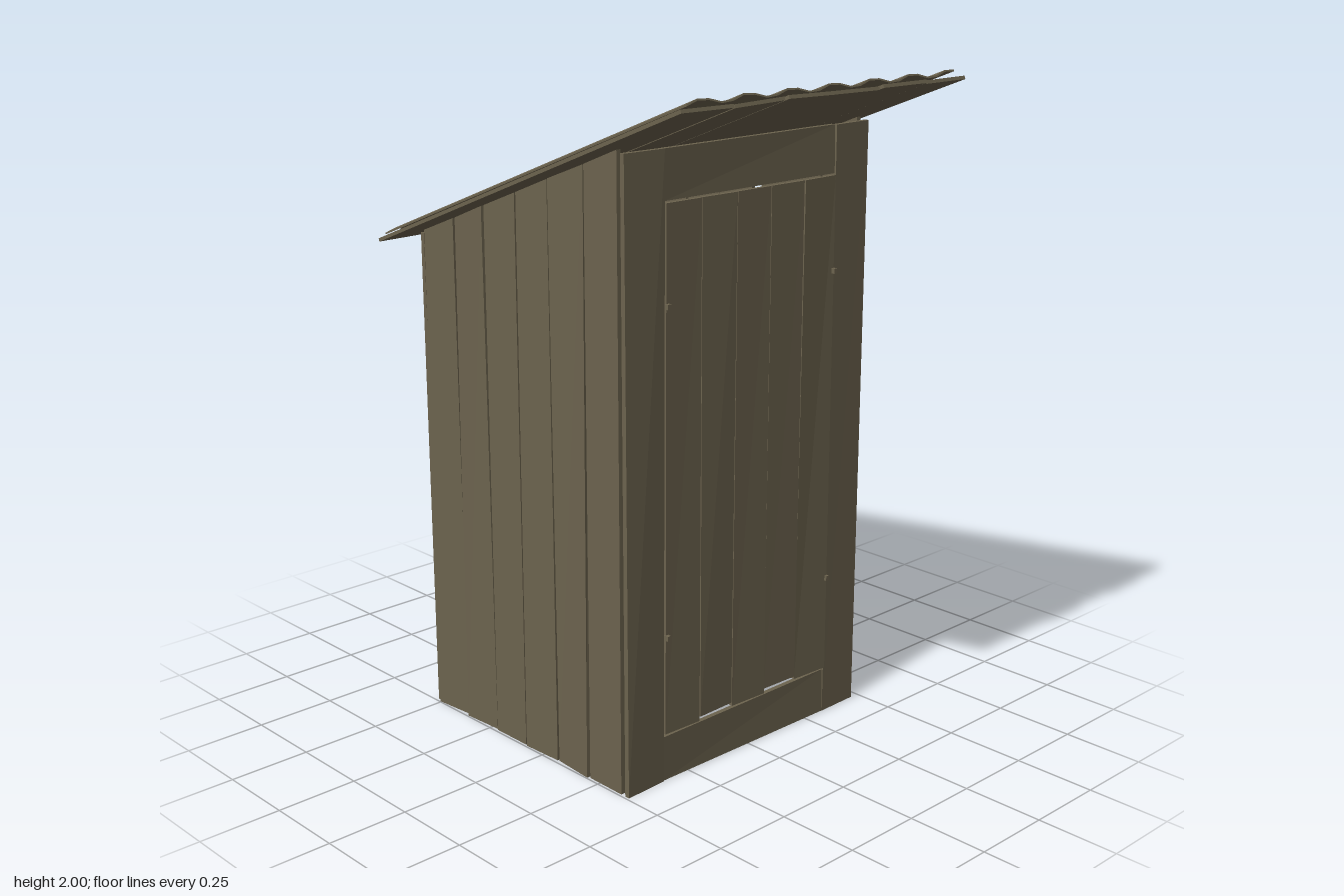
import * as THREE from 'three';

const SLOPE = 0.385;                            // rise of the roof per unit of z
const roofY = (z) => 1.715 + SLOPE * z;         // underside of the roof

export function createModel() {
  const model = new THREE.Group();
  model.name = 'woodenShed';
  const wood = new THREE.MeshStandardMaterial({ color: 0x6c634e, flatShading: true });
  wood.name = 'weathered wood';

  let seed = 7;
  const rand = (a) => {
    seed = (seed * 16807) % 2147483647;
    return (seed / 2147483647 * 2 - 1) * a;
  };

  const add = (parent, name, geo, x = 0, y = 0, z = 0) => {
    const mesh = new THREE.Mesh(geo, wood);
    mesh.name = name;
    mesh.position.set(x, y, z);
    parent.add(mesh);
    return mesh;
  };

  const group = (name, parent = model) => {
    const g = new THREE.Group();
    g.name = name;
    parent.add(g);
    return g;
  };

  // Move box vertices by a rule and refresh the facets
  const shape = (geo, rule) => {
    const p = geo.attributes.position;
    const v = new THREE.Vector3();
    for (let i = 0; i < p.count; i++) {
      rule(v.fromBufferAttribute(p, i));
      p.setXYZ(i, v.x, v.y, v.z);
    }
    const flat = geo.toNonIndexed();
    flat.computeVertexNormals();
    return flat;
  };

  // Upright board facing (-dz, dx), twisted at each end, top cut by a function of z
  const board = (parent, name, o) => {
    const { cx, cz, dx, dz, w, y0 = 0, top, t = 0.015, twist0 = 0, twist1 = 0, lean = 0 } = o;
    add(parent, name, shape(new THREE.BoxGeometry(w, 1, t), (v) => {
      const up = v.y > 0;
      const a = up ? twist1 : twist0;
      const u = v.x * Math.cos(a) - v.z * Math.sin(a);
      const n = v.x * Math.sin(a) + v.z * Math.cos(a) + (up ? lean : 0);
      const x = cx + dx * u - dz * n;
      const z = cz + dz * u + dx * n;
      v.set(x, up ? top(z) : y0, z);
    }));
  };

  // Front frame: two posts, lintel and sill
  const frame = group('frontFrame');
  for (const [name, x] of [['rightPost', -0.422], ['leftPost', 0.4]])
    board(frame, name, { cx: x, cz: 0.365, dx: 1, dz: 0, w: 0.142, top: () => 1.835, twist0: rand(0.04), twist1: rand(0.04) });
  board(frame, 'lintel', { cx: -0.01, cz: 0.362, dx: 1, dz: 0, w: 0.68, y0: 1.695, top: () => 1.835, twist1: -0.01 });
  board(frame, 'sill', { cx: -0.01, cz: 0.362, dx: 1, dz: 0, w: 0.68, top: () => 0.14, twist0: 0.01 });

  // Door of five boards with two rails and small hinge pins
  const door = group('door');
  for (let i = 0; i < 5; i++) {
    board(door, 'doorBoard', {
      cx: -0.01 + (i - 2) * 0.136, cz: 0.371, dx: 1, dz: 0, w: 0.132,
      y0: 0.15 + (i % 2) * 0.012, top: () => 1.69, t: 0.012,
      twist0: rand(0.08), twist1: rand(0.06),
    });
  }
  for (const y of [0.45, 1.41]) {
    add(door, 'doorRail', new THREE.BoxGeometry(0.66, 0.05, 0.012), -0.01, y, 0.354);
    for (const x of [-0.345, 0.325])
      add(door, 'hingePin', new THREE.BoxGeometry(0.012, 0.015, 0.02), x, y, 0.377);
  }

  // Back wall of seven boards
  const back = group('backWall');
  for (let i = 0; i < 7; i++) {
    board(back, 'backBoard', {
      cx: -0.01 + (i - 3) * 0.1375, cz: -0.518, dx: -1, dz: 0, w: 0.133,
      top: () => 1.505, twist0: rand(0.14), twist1: rand(0.08),
    });
  }

  // Side walls of six boards each; one board on the left leans outwards
  for (const side of [1, -1]) {
    const wall = group(side > 0 ? 'leftWall' : 'rightWall');
    for (let i = 0; i < 6; i++) {
      const loose = side > 0 && i === 2;
      board(wall, 'sideBoard', {
        cx: -0.01 + side * 0.474, cz: 0.275 - i * 0.1425, dx: 0, dz: -side, w: 0.136,
        top: (z) => roofY(z) - 0.004, twist0: rand(0.1),
        twist1: loose ? 0.25 : rand(0.08), lean: loose ? 0.025 : 0,
      });
    }
    add(wall, 'sideRail', new THREE.BoxGeometry(0.012, 0.04, 0.84), -0.01 + side * 0.458, 0.47, -0.08);
  }

  // Sloping roof: six boards under a corrugated sheet
  const roof = group('roof');
  roof.position.y = 1.724;
  roof.rotation.x = -Math.atan(SLOPE);
  for (let i = 0; i < 6; i++) {
    const long = i === 2 || i === 4;
    const f = rand(0.03), b = rand(0.03);
    const geo = shape(new THREE.BoxGeometry(0.184, 0.01, long ? 1.412 : 1.385), (v) => {
      v.y += v.x * (v.z > 0 ? f : b);
    });
    add(roof, 'roofBoard', geo, (i - 2.5) * 0.186);
  }
  const sheet = shape(new THREE.BoxGeometry(1.05, 0.005, 1.38, 26, 1, 1), (v) => {
    v.y += 0.008 * Math.cos((v.x + 0.47) / 0.162 * Math.PI * 2);
  });
  add(roof, 'corrugatedSheet', sheet, -0.005, 0.019, 0);

  return model;
}
